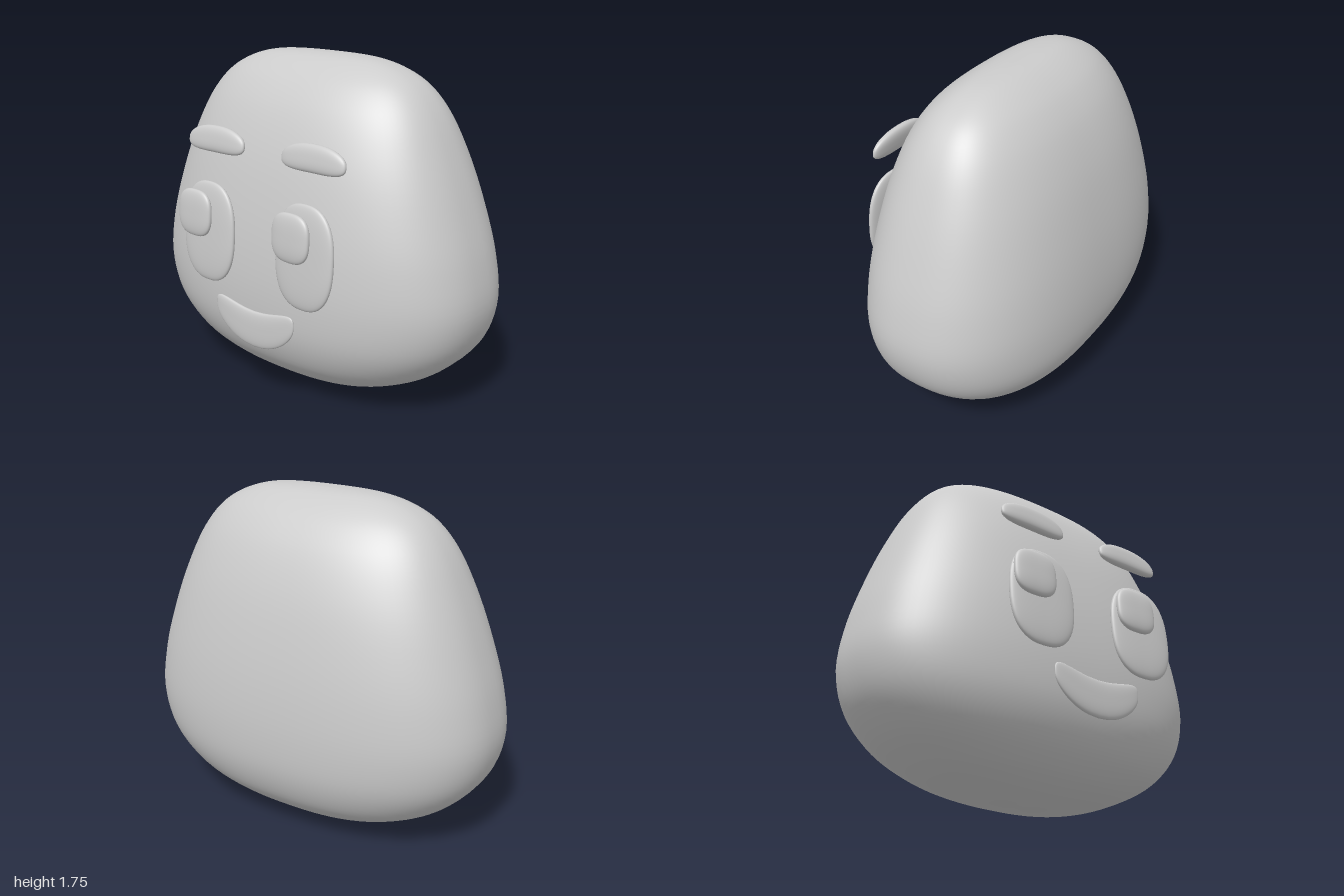
import * as THREE from 'three';
import { mergeVertices } from 'three/addons/utils/BufferGeometryUtils.js';

const material = new THREE.MeshStandardMaterial({ color: 0xcccccc, roughness: 0.8 });
const spow = (v, p) => Math.sign(v) * Math.pow(Math.abs(v), p);

// Moves every vertex of a sphere by a rule, then smooths it
function reshape(sphere, rule) {
  const p = sphere.attributes.position;
  const uv = sphere.attributes.uv;
  for (let i = 0; i < p.count; i++) {
    const [x, y, z] = rule(p.getX(i), p.getY(i), p.getZ(i), uv.getY(i));
    p.setXYZ(i, x, y, z);
  }
  sphere.deleteAttribute('uv');
  sphere.deleteAttribute('normal');
  const g = mergeVertices(sphere, 1e-5);
  g.computeVertexNormals();
  return g;
}

// Soft flat pad with a rounded-square outline; bend lifts or drops its ends
function pillow(name, { w, h, d, n = 2.5, bend = 0, at, tilt = 0, turn = 0 }) {
  const sphere = new THREE.SphereGeometry(1, 48, 32).rotateX(Math.PI / 2);
  const g = reshape(sphere, (x, y, z) => {
    const r = Math.pow(Math.hypot(x, y), 0.75);
    const a = Math.atan2(y, x);
    const u = r * spow(Math.cos(a), 2 / n);
    const v = r * spow(Math.sin(a), 2 / n);
    return [u * w, v * h + bend * u * u, spow(z, 0.8) * d];
  });
  const mesh = new THREE.Mesh(g, material);
  mesh.name = name;
  mesh.position.set(...at);
  mesh.rotation.set(tilt, turn, 0);
  return mesh;
}

// Head: half width, height, half depth from the bottom to the top ridge
function head() {
  const profile = new THREE.CatmullRomCurve3([
    [0, 0.005, 0], [0.25, 0.02, 0.155], [0.46, 0.06, 0.28], [0.63, 0.12, 0.38],
    [0.81, 0.225, 0.475], [0.945, 0.38, 0.535], [1, 0.57, 0.553], [0.974, 0.8, 0.543],
    [0.902, 1.05, 0.506], [0.808, 1.3, 0.444], [0.71, 1.5, 0.362], [0.615, 1.62, 0.28],
    [0.51, 1.69, 0.203], [0.37, 1.737, 0.122], [0.18, 1.755, 0.05], [0, 1.757, 0],
  ].map((p) => new THREE.Vector3(...p)));
  const n = 2.45;
  const g = reshape(new THREE.SphereGeometry(1, 96, 72), (x, y, z, t) => {
    const c = profile.getPoint(t);
    const a = Math.atan2(z, x);
    return [c.x * spow(Math.cos(a), 2 / n), c.y, c.z * spow(Math.sin(a), 2 / n) - 0.041];
  });
  const mesh = new THREE.Mesh(g, material);
  mesh.name = 'head';
  return mesh;
}

export function createModel() {
  const model = new THREE.Group();
  model.name = 'face';
  model.add(head());

  // Brow, eye and pupil on each side, all looking the same way
  for (const [side, s] of [['left', 1], ['right', -1]]) {
    const x = 0.025 + s * 0.324;
    model.add(
      pillow(side + 'Brow', { w: 0.197, h: 0.068, d: 0.028, n: 2.5, bend: -0.018, at: [x, 1.335, 0.457], tilt: -0.18 }),
      pillow(side + 'Eye', { w: 0.188, h: 0.262, d: 0.031, n: 2.5, at: [x, 0.863, 0.529], tilt: -0.07, turn: -0.05 }),
      pillow(side + 'Pupil', { w: 0.121, h: 0.122, d: 0.027, n: 2.8, at: [0.025 + (s > 0 ? 0.268 : -0.391), 0.958, 0.563], tilt: -0.07, turn: -0.05 }),
    );
  }

  // Smiling mouth
  model.add(pillow('mouth', { w: 0.267, h: 0.097, d: 0.019, n: 2.8, bend: 0.085, at: [0.027, 0.412, 0.547] }));
  return model;
}
